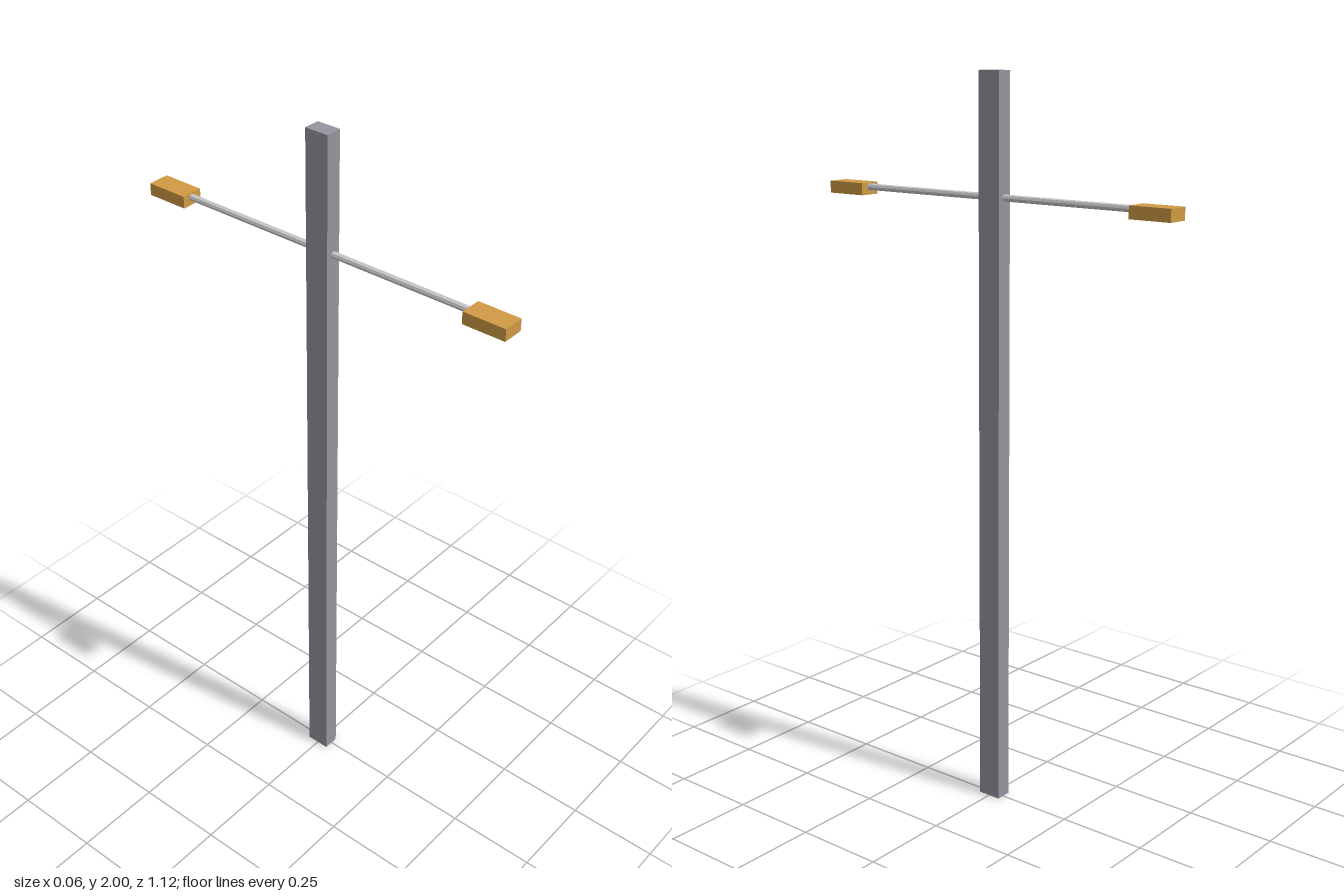
import * as THREE from 'three';

export function createModel() {
  const group = new THREE.Group();
  const postMat = new THREE.MeshStandardMaterial({ color: 0x95959f });
  const armMat = new THREE.MeshStandardMaterial({ color: 0xcccccc, flatShading: true });
  const lampMat = new THREE.MeshStandardMaterial({ color: 0xd09a45 });

  const add = (name, geometry, material, x, y, z) => {
    const mesh = new THREE.Mesh(geometry, material);
    mesh.name = name;
    mesh.position.set(x, y, z);
    group.add(mesh);
  };

  // Tall rectangular post
  add('post', new THREE.BoxGeometry(0.045, 2, 0.067), postMat, -0.002, 1, 0);

  // Thin arm and lamp head on each side of the post
  const armGeo = new THREE.CylinderGeometry(0.009, 0.009, 0.45, 8).rotateX(Math.PI / 2);
  const lampGeo = new THREE.BoxGeometry(0.061, 0.033, 0.12);
  for (const [side, s] of [['front', 1], ['back', -1]]) {
    add(side + 'Arm', armGeo, armMat, -0.001, 1.682, s * 0.225);
    add(side + 'Lamp', lampGeo, lampMat, -0.001 - s * 0.0015, 1.677, s * 0.5);
  }
  return group;
}
